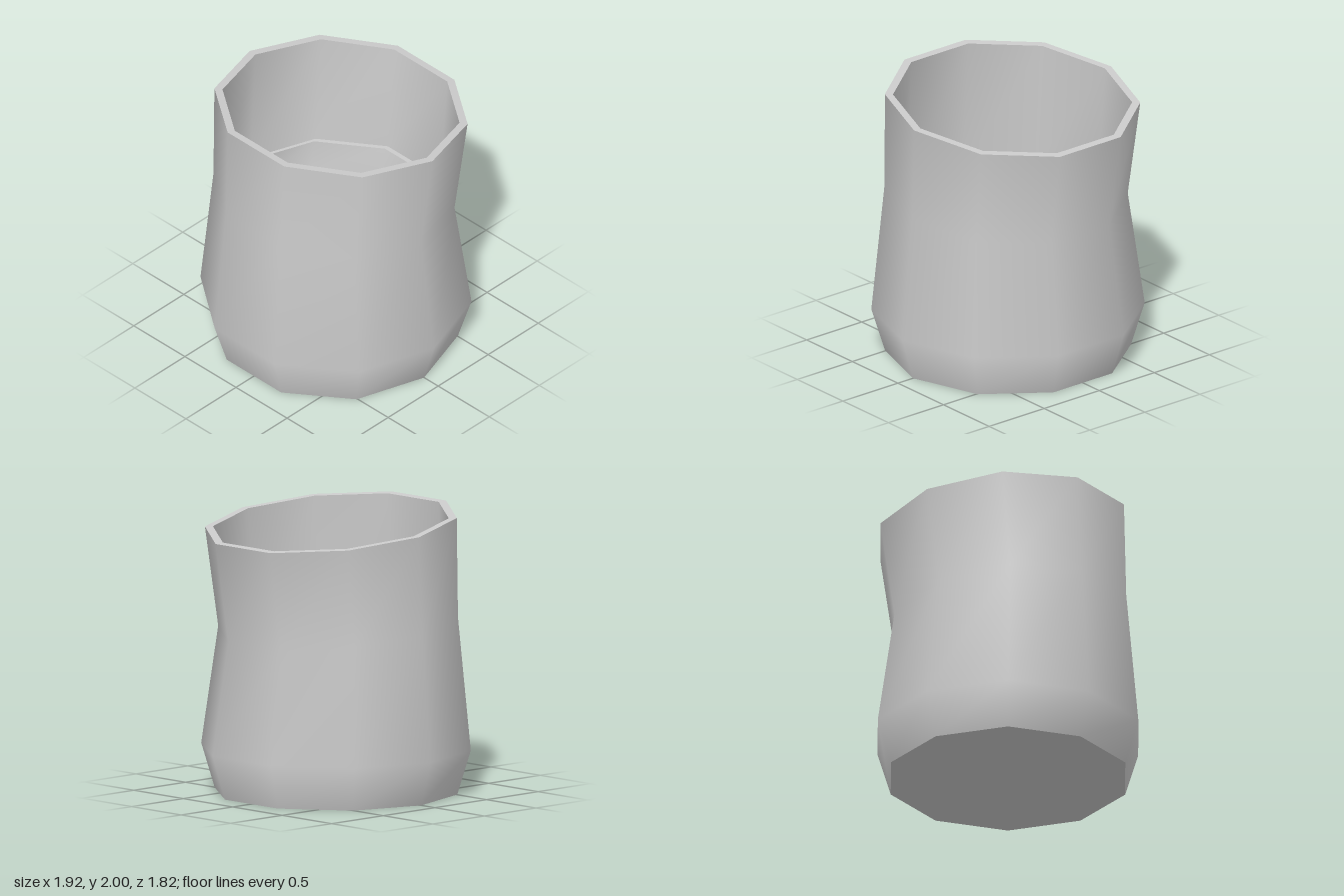
import * as THREE from 'three';

const SIDES = 10;

// Cross-section ring: height, radius, z offset of its centre, tilt towards the front
const ring = (y, r, cz = 0, tilt = 0) => ({ y, r, cz, tilt });

// Smooth skin through a sequence of rings
function skin(rings) {
  const pos = [], index = [];
  rings.forEach(({ y, r, cz, tilt }, k) => {
    for (let i = 0; i < SIDES; i++) {
      const a = (i / SIDES) * Math.PI * 2;
      const dz = r * Math.sin(a);
      pos.push(r * Math.cos(a), y + tilt * dz, cz + dz);
      if (k === 0) continue;
      const j = (i + 1) % SIDES;
      const lo = (k - 1) * SIDES, hi = k * SIDES;
      index.push(lo + i, hi + i, lo + j, hi + i, hi + j, lo + j);
    }
  });
  const geo = new THREE.BufferGeometry();
  geo.setAttribute('position', new THREE.Float32BufferAttribute(pos, 3));
  geo.setIndex(index);
  geo.computeVertexNormals();
  return geo;
}

export function createModel() {
  const group = new THREE.Group();
  group.name = 'cup';
  const material = new THREE.MeshStandardMaterial({ color: 0xcccccc });
  const add = (name, ...rings) => {
    const mesh = new THREE.Mesh(skin(rings), material);
    mesh.name = name;
    group.add(mesh);
  };

  // Rings shared by neighbouring parts
  const foot = ring(0, 0.862);
  const belly = ring(0.315, 0.958);
  const waist = ring(1.2, 0.852, 0.02, 0.11);
  const rimOuter = ring(1.91, 0.895, -0.05, 0.106);
  const rimInner = ring(1.91, 0.838, -0.05, 0.106);
  const ledgeOuter = ring(1.03, 0.828, 0.008, 0.03);
  const ledgeInner = ring(1.03, 0.81, 0.025, 0.03);
  const floor = ring(0.8, 0.81, 0.06, 0.03);

  // Outside
  add('base', ring(0, 0.001), foot);
  add('outerWall', foot, belly, waist, rimOuter);
  add('rim', rimOuter, rimInner);

  // Inside
  add('innerWall', rimInner, ledgeOuter);
  add('innerLedge', ledgeOuter, ledgeInner);
  add('recessWall', ledgeInner, floor);
  add('innerFloor', floor, ring(0.8, 0.001, 0.06, 0.03));

  return group;
}
